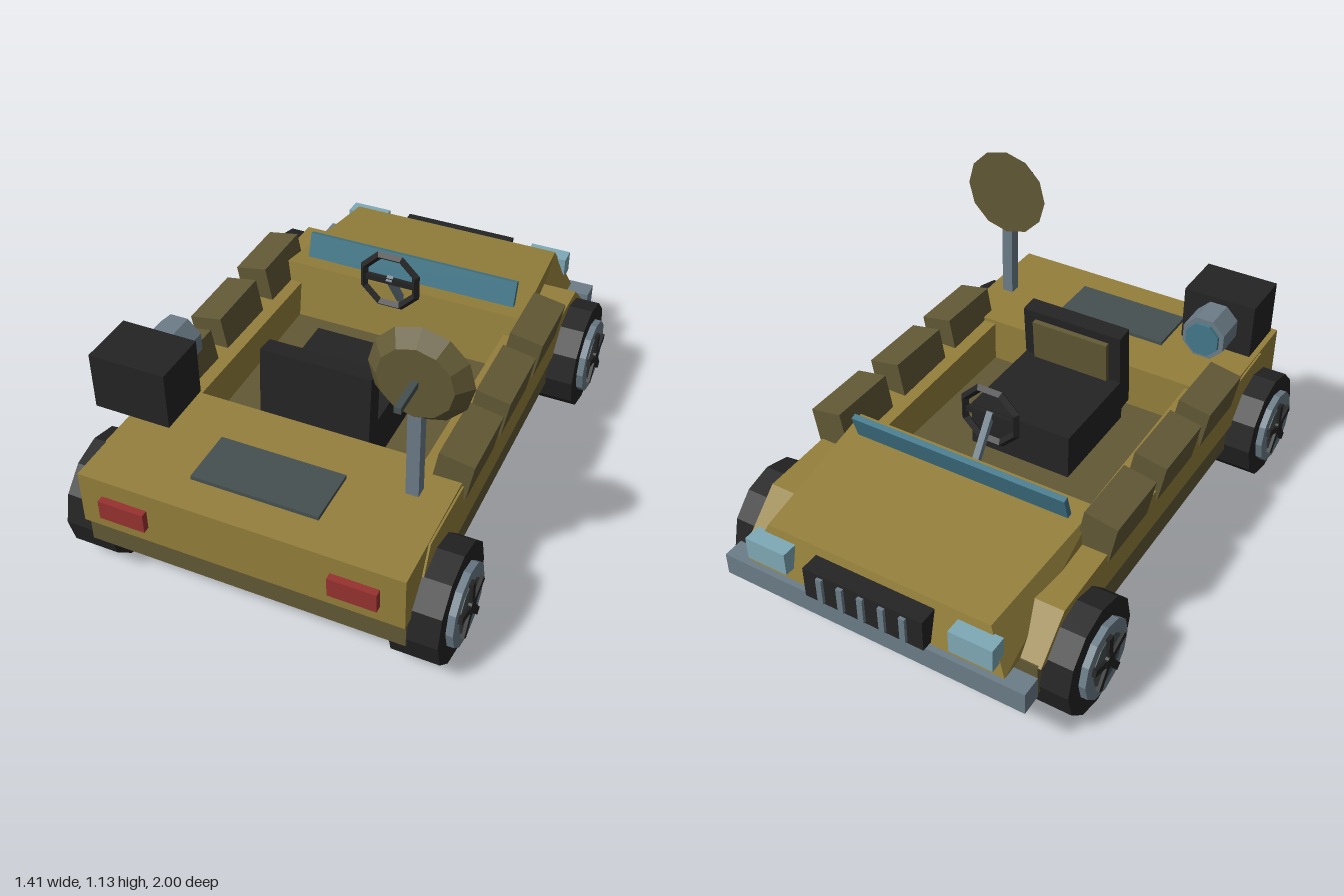
import * as THREE from 'three';

const mat = (name, color, double) => {
  const m = new THREE.MeshStandardMaterial({ color, flatShading: true });
  m.name = name;
  return m;
};

export function createModel() {
  const gold = mat('goldPaint', 0x94803c), olive = mat('oliveCanvas', 0x625935);
  const black = mat('blackRubber', 0x242424), steel = mat('steel', 0x6c7d88);
  const slate = mat('slate', 0x465050), teal = mat('tealGlass', 0x43788a);
  const ice = mat('headlightGlass', 0x7fa9b7), red = mat('redLens', 0x98332f);
  const car = new THREE.Group();
  car.name = 'offRoadCar';

  const add = (name, geo, m, x = 0, y = 0, z = 0, parent = car) => {
    const mesh = new THREE.Mesh(geo, m);
    mesh.name = name;
    mesh.position.set(x, y, z);
    parent.add(mesh);
    return mesh;
  };
  // box given by its limits on each axis
  const box = (name, m, x0, x1, y0, y1, z0, z1, parent = car) =>
    add(name, new THREE.BoxGeometry(x1 - x0, y1 - y0, z1 - z0), m,
      (x0 + x1) / 2, (y0 + y1) / 2, (z0 + z1) / 2, parent);
  // six-sided block between four lower and four upper corners
  const block = (c) => {
    const quads = [[4, 5, 6, 7], [3, 2, 1, 0]];
    for (let i = 0; i < 4; i++) quads.push([i, (i + 1) % 4, (i + 1) % 4 + 4, i + 4]);
    const pos = quads.flatMap(([a, b, d, e]) => [a, b, d, a, d, e].flatMap((k) => c[k]));
    const g = new THREE.BufferGeometry();
    g.setAttribute('position', new THREE.Float32BufferAttribute(pos, 3));
    g.computeVertexNormals();
    return g;
  };

  // lower tub, whose top is the cockpit floor
  box('chassis', olive, -0.563, 0.563, 0.178, 0.305, -0.86, 0.955);
  // rear deck
  box('rearDeck', gold, -0.568, 0.568, 0.28, 0.482, 0.46, 0.975);
  box('deckHatch', slate, -0.225, 0.225, 0.48, 0.496, 0.645, 0.85);
  // hood, narrowing to the nose
  add('hood', block([
    [-0.49, 0.3, -0.305], [0.49, 0.3, -0.305], [0.5, 0.3, -0.95], [-0.5, 0.3, -0.95],
    [-0.475, 0.522, -0.34], [0.475, 0.522, -0.34], [0.43, 0.46, -0.91], [-0.43, 0.46, -0.91],
  ]), gold);

  // side walls with sloping ends
  const wall = new THREE.Shape([[-0.9, 0.285], [0.86, 0.3], [0.72, 0.43], [-0.8, 0.478]]
    .map(([x, y]) => new THREE.Vector2(x, y)));
  const wallGeo = new THREE.ExtrudeGeometry(wall, { depth: 0.16, bevelEnabled: false });
  wallGeo.rotateY(Math.PI / 2);
  for (const s of [1, -1]) {
    add('sideWall', wallGeo, gold, s > 0 ? 0.415 : -0.575);
    // saddle bags leaning outwards
    for (const z of [0.38, 0.04, -0.307]) {
      add('sideBag', new THREE.BoxGeometry(0.124, 0.15, 0.272), olive, s * 0.533, 0.495, z)
        .rotation.z = -s * 0.18;
    }
    // lamps
    const a = s > 0 ? 0.32 : -0.485;
    box('tailLight', red, a, a + 0.165, 0.342, 0.415, 0.96, 1.0);
    const b = s > 0 ? 0.315 : -0.475;
    box('headlight', ice, b, b + 0.16, 0.345, 0.432, -0.976, -0.91);
  }

  // bumper and grille
  box('frontBumper', steel, -0.585, 0.585, 0.218, 0.302, -0.972, -0.895);
  box('grille', black, -0.23, 0.23, 0.31, 0.43, -0.988, -0.91);
  for (let i = -2; i <= 2; i++) {
    box('grilleBar', steel, i * 0.08 - 0.011, i * 0.08 + 0.011, 0.32, 0.42, -1.0, -0.98);
  }

  // low windshield, leaning forwards
  add('windshield', new THREE.BoxGeometry(0.84, 0.11, 0.022), teal, 0, 0.552, -0.43)
    .rotation.x = -0.3;

  // wheels
  const disc = (r, w, n) => new THREE.CylinderGeometry(r, r, w, n).rotateZ(Math.PI / 2);
  const tyreGeo = disc(0.206, 0.165, 12), rimGeo = disc(0.142, 0.03, 12);
  const plateGeo = disc(0.094, 0.006, 12), capGeo = disc(0.03, 0.016, 10);
  const spokeGeo = new THREE.BoxGeometry(0.016, 0.1, 0.026).translate(0, 0.055, 0);
  for (const s of [1, -1]) for (const z of [0.745, -0.643]) {
    const wheel = new THREE.Group();
    wheel.name = z > 0 ? 'rearWheel' : 'frontWheel';
    wheel.position.set(s * 0.583, 0.206, z);
    wheel.rotation.y = s > 0 ? 0 : Math.PI;
    car.add(wheel);
    add('tyre', tyreGeo, black, 0, 0, 0, wheel);
    add('rim', rimGeo, steel, 0.092, 0, 0, wheel);
    add('hubPlate', plateGeo, slate, 0.107, 0, 0, wheel);
    add('hubCap', capGeo, black, 0.114, 0, 0, wheel);
    for (let i = 0; i < 5; i++) {
      add('spoke', spokeGeo, black, 0.113, 0, 0, wheel).rotation.x = i * Math.PI * 0.4;
    }
  }

  // seat
  box('seatBase', black, -0.203, 0.203, 0.3, 0.482, -0.04, 0.37);
  const back = new THREE.Group();
  back.name = 'seatBack';
  back.position.set(0, 0.45, 0.385);
  back.rotation.x = -0.09;
  car.add(back);
  box('backFrame', black, -0.203, 0.203, -0.1, 0.24, -0.035, 0.035, back);
  box('backCushion', olive, -0.155, 0.155, 0.04, 0.205, -0.055, -0.03, back);

  // steering wheel and column
  add('steeringWheel', new THREE.TorusGeometry(0.11, 0.016, 4, 8).rotateZ(Math.PI / 8),
    black, 0, 0.63, -0.228);
  box('steeringCrossbar', black, -0.1, 0.1, 0.618, 0.642, -0.236, -0.22);
  add('steeringColumn', new THREE.BoxGeometry(0.024, 0.2, 0.024), steel, 0, 0.56, -0.28)
    .rotation.x = 0.6;

  // searchlight aimed forwards
  box('searchlightHousing', black, -0.605, -0.332, 0.605, 0.812, 0.58, 0.782);
  add('searchlightBarrel', new THREE.CylinderGeometry(0.085, 0.085, 0.125, 8)
    .rotateY(Math.PI / 8).rotateX(Math.PI / 2), steel, -0.467, 0.71, 0.522);
  add('searchlightLens', new THREE.CylinderGeometry(0.066, 0.066, 0.02, 8)
    .rotateY(Math.PI / 8).rotateX(Math.PI / 2), teal, -0.467, 0.71, 0.456);

  // dish on its mast
  box('dishMast', steel, 0.436, 0.48, 0.52, 0.85, 0.624, 0.668);
  add('dish', new THREE.CylinderGeometry(0.124, 0.17, 0.05, 12).rotateX(Math.PI / 2),
    olive, 0.458, 0.965, 0.647);
  box('dishFeed', slate, 0.447, 0.469, 0.954, 0.976, 0.66, 0.802);

  return car;
}
